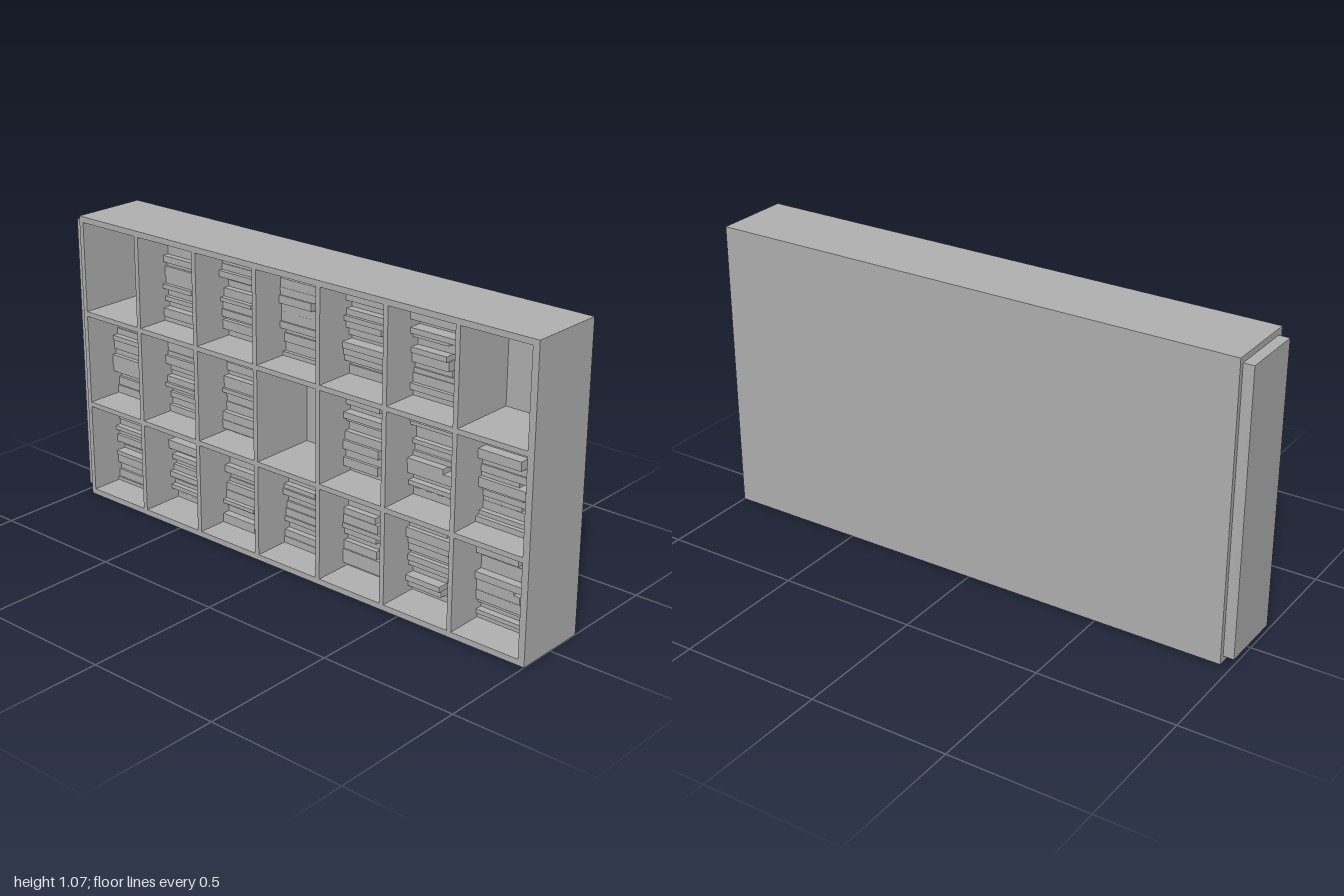
import * as THREE from 'three';

export function createModel() {
  const model = new THREE.Group();
  model.name = 'bookcase';
  const grey = new THREE.MeshStandardMaterial({ color: 0xb2b2b2 });
  grey.name = 'plain grey';

  const add = (parent, name, geometry, x = 0, y = 0, z = 0) => {
    const mesh = new THREE.Mesh(geometry, grey);
    mesh.name = name;
    mesh.position.set(x, y, z);
    parent.add(mesh);
    return mesh;
  };
  // Box given by its minimum and maximum corners
  const box = (parent, name, x0, x1, y0, y1, z0, z1) =>
    add(parent, name, new THREE.BoxGeometry(x1 - x0, y1 - y0, z1 - z0),
      (x0 + x1) / 2, (y0 + y1) / 2, (z0 + z1) / 2);

  // Small seeded generator for the book sizes
  let seed = 17;
  const random = (min, max) => {
    seed = (seed * 16807) % 2147483647;
    return min + (max - min) * (seed / 2147483647);
  };

  // Overall sizes and the grid of compartments
  const left = -0.962, right = 1, top = 1.068;
  const front = 0.14, back = -0.14, inner = -0.11;
  const columns = 7, rows = 3;
  const cellW = 0.259, cellH = 0.33, pitchX = 0.2768, pitchY = 0.348;
  const cellX = (c) => -0.944 + c * pitchX;
  const cellY = (r) => 0.021 + r * pitchY;

  // Frame: one slab with a rectangular hole for each compartment
  const outline = new THREE.Shape([
    new THREE.Vector2(left, 0), new THREE.Vector2(right, 0),
    new THREE.Vector2(right, top), new THREE.Vector2(left, top),
  ]);
  for (let r = 0; r < rows; r++) {
    for (let c = 0; c < columns; c++) {
      const x = cellX(c), y = cellY(r);
      outline.holes.push(new THREE.Path([
        new THREE.Vector2(x, y), new THREE.Vector2(x, y + cellH),
        new THREE.Vector2(x + cellW, y + cellH), new THREE.Vector2(x + cellW, y),
      ]));
    }
  }
  add(model, 'shelfFrame',
    new THREE.ExtrudeGeometry(outline, { depth: front - inner, bevelEnabled: false }), 0, 0, inner);
  box(model, 'backPanel', left, right, 0, top, back, inner);

  // Thin panel fixed to one end
  box(model, 'endPanel', -1, left, 0.022, 1.046, -0.122, 0.117);

  // Flat stacks of books, pushed against the side wall of each compartment
  const empty = ['2,0', '2,6', '1,3'];
  for (let r = 0; r < rows; r++) {
    for (let c = 0; c < columns; c++) {
      if (empty.includes(`${r},${c}`)) continue;
      const stack = new THREE.Group();
      stack.name = 'bookStack';
      model.add(stack);
      const x = cellX(c), ceiling = cellY(r) + cellH;
      let y = cellY(r);
      while (y < ceiling - 0.008) {
        const y1 = Math.min(y + random(0.013, 0.034), ceiling);
        box(stack, 'book', x, x + random(0.135, 0.22), y, y1, inner, random(-0.02, 0.03));
        y = y1;
      }
    }
  }
  return model;
}
